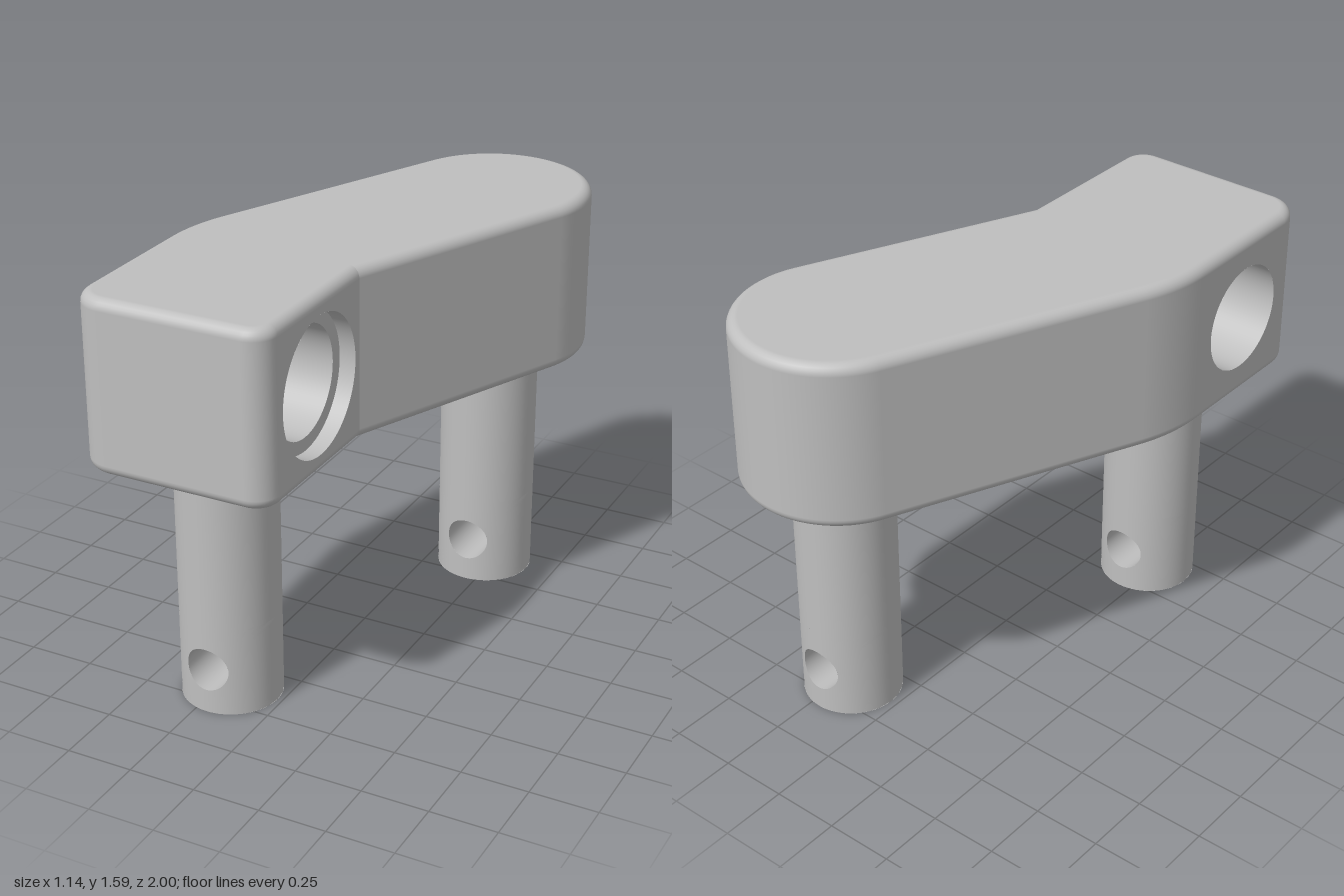
import * as THREE from 'three';
import { ParametricGeometry } from 'three/addons/geometries/ParametricGeometry.js';

const BOTTOM = 0.95, TOP = 1.585, FILLET = 0.04;
const RIGHT_X = 0.165, LEFT_X = -0.57, BEND_Z = 0.36;
const BORE = { z: 0.64, y: 1.266, r: 0.2, counterR: 0.25, depth: 0.06 };
const TILT = THREE.MathUtils.degToRad(23.5);

// Body outline in x/z; n is the shading normal, m the inset direction.
function bodyOutline() {
  const pts = [];
  const arc = (cx, cz, r, a0, a1, steps) => {
    for (let i = 0; i <= steps; i++) {
      const a = a0 + (a1 - a0) * i / steps, n = [Math.cos(a), Math.sin(a)];
      pts.push({ x: cx + r * n[0], z: cz + r * n[1], n, m: n });
    }
  };
  const P = Math.PI;
  const c = Math.cos(TILT), s = Math.sin(TILT);
  const m = [1, s / (1 + c)];
  pts.push({ x: RIGHT_X, z: BEND_Z, n: [1, 0], m, flat: true });   // right wall start
  arc(RIGHT_X - 0.09, 0.91, 0.09, 0, P / 2, 10);                   // front corners
  arc(LEFT_X + 0.12, 0.88, 0.12, P / 2, P, 10);
  pts[pts.length - 1].flat = true;                                 // left wall start
  arc(LEFT_X + 0.65, 0.38, 0.65, P, P + TILT, 8);                  // soft outer bend
  arc(0.207, -0.64, 0.36, P + TILT, 2 * P + TILT, 48);             // round back end
  pts.push({ x: RIGHT_X, z: BEND_Z, n: [c, s], m });               // sharp inner bend
  return pts;
}

// Side shell with rounded rims; the two drilled walls are left open.
function shellGeometry(outline) {
  const rows = [], steps = 6;
  for (let i = 0; i <= steps; i++) rows.push([BOTTOM + FILLET, -Math.PI / 2 * (1 - i / steps)]);
  for (let i = 0; i <= steps; i++) rows.push([TOP - FILLET, Math.PI / 2 * i / steps]);
  const pos = [], nor = [], idx = [], w = rows.length;
  for (const p of outline) {
    for (const [y, a] of rows) {
      const inset = FILLET * (1 - Math.cos(a));
      pos.push(p.x - p.m[0] * inset, y + FILLET * Math.sin(a), p.z - p.m[1] * inset);
      nor.push(p.n[0] * Math.cos(a), Math.sin(a), p.n[1] * Math.cos(a));
    }
  }
  for (let i = 0; i < outline.length - 1; i++) {
    for (let j = 0; j < w - 1; j++) {
      if (outline[i].flat && j === steps) continue;
      const a = i * w + j, c = a + w;
      idx.push(a, a + 1, c, a + 1, c + 1, c);
    }
  }
  const g = new THREE.BufferGeometry();
  g.setAttribute('position', new THREE.Float32BufferAttribute(pos, 3));
  g.setAttribute('normal', new THREE.Float32BufferAttribute(nor, 3));
  g.setIndex(idx);
  return g;
}

// Flat top or bottom face inside the rounded rim.
function capGeometry(outline, up) {
  const pts = outline.slice(0, -1).map(p => new THREE.Vector2(
    p.x - p.m[0] * FILLET, (p.z - p.m[1] * FILLET) * (up ? -1 : 1)));
  return new THREE.ShapeGeometry(new THREE.Shape(pts))
    .rotateX(up ? -Math.PI / 2 : Math.PI / 2)
    .translate(0, up ? TOP : BOTTOM, 0);
}

// Flat side wall with a round opening; side is +1 for +x, -1 for -x.
function wallGeometry(side, x, z0, z1, r) {
  const y0 = BOTTOM + FILLET, y1 = TOP - FILLET;
  const shape = new THREE.Shape([[z0, y0], [z1, y0], [z1, y1], [z0, y1]]
    .map(([z, y]) => new THREE.Vector2(-side * z, y)));
  const hole = new THREE.Path();
  hole.absarc(-side * BORE.z, BORE.y, r, 0, Math.PI * 2, true);
  shape.holes.push(hole);
  return new THREE.ShapeGeometry(shape, 64).rotateY(side * Math.PI / 2).translate(x, 0, 0);
}

// Open tube along x for the bore walls.
function boreGeometry(r, x0, x1) {
  return new THREE.CylinderGeometry(r, r, x1 - x0, 64, 1, true)
    .rotateZ(Math.PI / 2).translate((x0 + x1) / 2, BORE.y, BORE.z);
}

// Round pin with a cross-drilled hole along z near its foot.
function makePin(add, material) {
  const R = 0.183, r = 0.082, holeY = 0.172, bandTop = holeY * 2, top = BOTTOM + 0.005;
  const pin = new THREE.Group();
  add(pin, 'pinShaft', new THREE.CylinderGeometry(R, R, top - bandTop, 64, 1, true)
    .translate(0, (top + bandTop) / 2, 0), material);
  add(pin, 'pinFoot', new THREE.CircleGeometry(R, 64).rotateX(Math.PI / 2), material);

  // Half of the drilled band, blended from the hole rim to the band's border
  const band = new ParametricGeometry((u, v, target) => {
    const a = v * Math.PI * 2, c = Math.cos(a), s = Math.sin(a);
    const k = 1 / Math.max(Math.abs(c), Math.abs(s));
    const phi = THREE.MathUtils.lerp(Math.asin(r * c / R), c * k * Math.PI / 2, u);
    const y = THREE.MathUtils.lerp(r * s, s * k * holeY, u);
    target.set(R * Math.sin(phi), holeY + y, R * Math.cos(phi));
  }, 12, 64);
  add(pin, 'drilledBandFront', band, material);
  add(pin, 'drilledBandBack', band.clone().rotateY(Math.PI), material);

  add(pin, 'crossHole', new ParametricGeometry((u, v, target) => {
    const a = u * Math.PI * 2, x = r * Math.cos(a);
    target.set(x, holeY + r * Math.sin(a), (1 - 2 * v) * Math.sqrt(R * R - x * x));
  }, 48, 2), material);
  return pin;
}

export function createModel() {
  const model = new THREE.Group();
  model.name = 'bentBracketWithPins';
  const metal = new THREE.MeshStandardMaterial({ color: 0xbfbfbf, side: THREE.DoubleSide });
  metal.name = 'light grey';
  const add = (parent, name, geometry, material) => {
    const mesh = new THREE.Mesh(geometry, material);
    mesh.name = name;
    parent.add(mesh);
  };

  // Bent body
  const body = new THREE.Group();
  body.name = 'body';
  model.add(body);
  const outline = bodyOutline();
  add(body, 'bodySides', shellGeometry(outline), metal);
  add(body, 'bodyTop', capGeometry(outline, true), metal);
  add(body, 'bodyBottom', capGeometry(outline, false), metal);
  add(body, 'leftWall', wallGeometry(1, RIGHT_X, BEND_Z, 0.91, BORE.counterR), metal);
  add(body, 'rightWall', wallGeometry(-1, LEFT_X, 0.38, 0.88, BORE.r), metal);

  // Stepped cross bore
  const ledgeX = RIGHT_X - BORE.depth;
  add(body, 'bore', boreGeometry(BORE.r, LEFT_X, ledgeX), metal);
  add(body, 'counterbore', boreGeometry(BORE.counterR, ledgeX, RIGHT_X), metal);
  add(body, 'counterboreLedge', new THREE.RingGeometry(BORE.r, BORE.counterR, 64)
    .rotateY(Math.PI / 2).translate(ledgeX, BORE.y, BORE.z), metal);

  // Two pins
  for (const [name, x, z] of [['frontPin', -0.203, 0.642], ['backPin', 0.21, -0.638]]) {
    const pin = makePin(add, metal);
    pin.name = name;
    pin.position.set(x, 0, z);
    model.add(pin);
  }
  return model;
}
